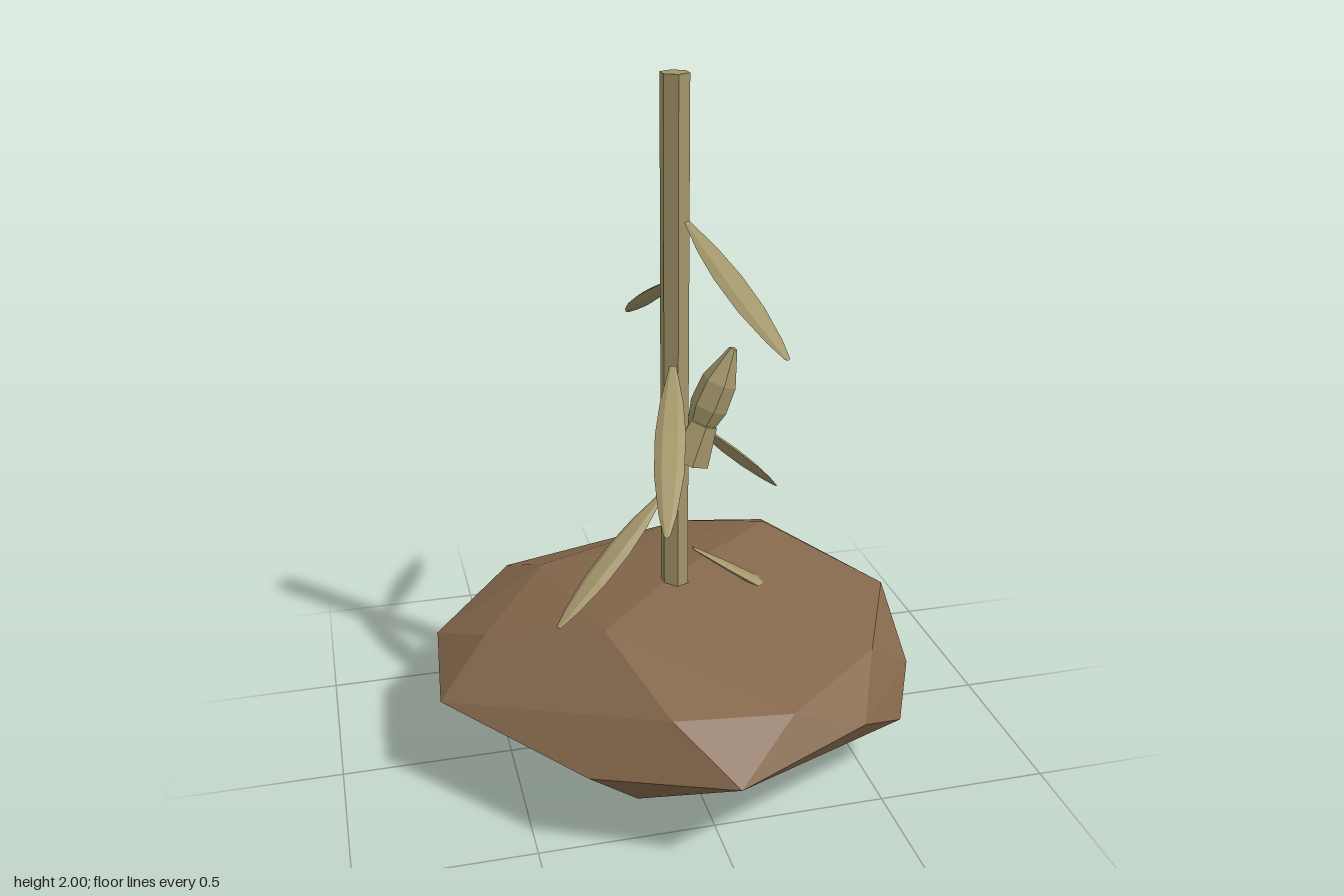
import * as THREE from 'three';
import { ConvexGeometry } from 'three/addons/geometries/ConvexGeometry.js';

const soil = new THREE.MeshStandardMaterial({ color: 0x85684c, flatShading: true });
soil.name = 'soilBrown';
const straw = new THREE.MeshStandardMaterial({ color: 0xa3966a, flatShading: true });
straw.name = 'dryStraw';

const STALK_X = 0.02, STALK_Z = -0.04;

function part(name, geometry, material, parent) {
  const mesh = new THREE.Mesh(geometry, material);
  mesh.name = name;
  parent.add(mesh);
  return mesh;
}

// six-sided spindle from [radius, height] pairs
function spindle(profile) {
  return new THREE.LatheGeometry(profile.map(([r, y]) => new THREE.Vector2(r, y)), 6);
}

// flat tapering leaf from base to tip, its width kept horizontal
function leaf(name, base, tip, parent) {
  const from = new THREE.Vector3(...base);
  const along = new THREE.Vector3(...tip).sub(from);
  const length = along.length();
  along.normalize();
  const across = new THREE.Vector3().crossVectors(along, new THREE.Vector3(0, 1, 0)).normalize();
  const normal = new THREE.Vector3().crossVectors(along, across);
  const geometry = spindle([
    [0, 0], [0.01, 0], [0.032, 0.22], [0.042, 0.42], [0.04, 0.65], [0.024, 0.87], [0.008, 0.99], [0, 1],
  ]);
  geometry.scale(0.32, length, 1);
  geometry.applyMatrix4(new THREE.Matrix4().makeBasis(normal, along, across).setPosition(from));
  part(name, geometry, straw, parent);
}

export function createModel() {
  const model = new THREE.Group();
  model.name = 'driedCropPlant';

  // lumpy faceted mound of earth
  const lumps = [
    // crown
    [-0.25, 0.51, 0.23], [0.03, 0.5, -0.07], [0.42, 0.46, -0.43],
    // shoulder
    [-0.14, 0.41, 0.57], [0.2, 0.38, 0.57], [0.52, 0.39, 0.32], [-0.56, 0.41, 0],
    [-0.33, 0.43, -0.36], [0.2, 0.385, -0.65], [0.71, 0.37, -0.09],
    // rim
    [0.01, 0.27, 0.72], [0.42, 0.29, 0.54], [0.68, 0.26, 0.21], [0.69, 0.26, -0.31],
    [0.49, 0.35, -0.66], [-0.03, 0.28, -0.73], [-0.41, 0.31, -0.61], [-0.68, 0.3, -0.24],
    [-0.71, 0.28, 0.12], [-0.36, 0.24, 0.53],
    // underside
    [0.6, 0.17, 0.37], [0.63, 0.12, 0], [0.11, 0.12, 0.5], [-0.22, 0.13, 0.5],
    [-0.6, 0.18, 0.08], [-0.4, 0.09, -0.05], [-0.4, 0.18, -0.48], [0.1, 0.17, -0.68],
    [0.38, 0.05, -0.35], [0.05, 0, -0.07],
  ];
  part('soilMound', new ConvexGeometry(lumps.map((p) => new THREE.Vector3(...p))), soil, model);

  // hexagonal stalk
  const stalk = part('stalk', new THREE.CylinderGeometry(0.042, 0.042, 1.65, 6), straw, model);
  stalk.position.set(STALK_X, 1.175, STALK_Z);

  // leaves drooping away from the stalk
  const leaves = new THREE.Group();
  leaves.name = 'leaves';
  model.add(leaves);
  leaf('upperFrontLeaf', [0.04, 1.61, 0.02], [0.175, 1.37, 0.5], leaves);
  leaf('backLeaf', [0.02, 1.41, -0.1], [0.02, 1.15, -0.65], leaves);
  leaf('middleFrontLeaf', [0, 1.2, 0.02], [-0.14, 0.92, 0.51], leaves);
  leaf('backLeftLeaf', [0.08, 0.99, -0.08], [0.435, 0.625, -0.345], leaves);
  leaf('lowerRightLeaf', [-0.03, 0.8, 0], [-0.385, 0.54, 0.24], leaves);
  leaf('buriedLeaf', [0.08, 0.59, -0.05], [0.57, 0.25, -0.06], leaves);

  // ear with a flared husk, leaning out from the stalk
  const ear = new THREE.Group();
  ear.name = 'ear';
  ear.position.set(0.055, 0.89, STALK_Z);
  ear.rotation.z = -0.4;
  model.add(ear);
  part('husk', spindle([[0, 0], [0.07, 0], [0.048, 0.12], [0, 0.14]]), straw, ear);
  part('cob', spindle([[0, 0.06], [0.03, 0.07], [0.056, 0.17], [0.052, 0.25], [0.012, 0.355], [0, 0.36]]), straw, ear);

  return model;
}
